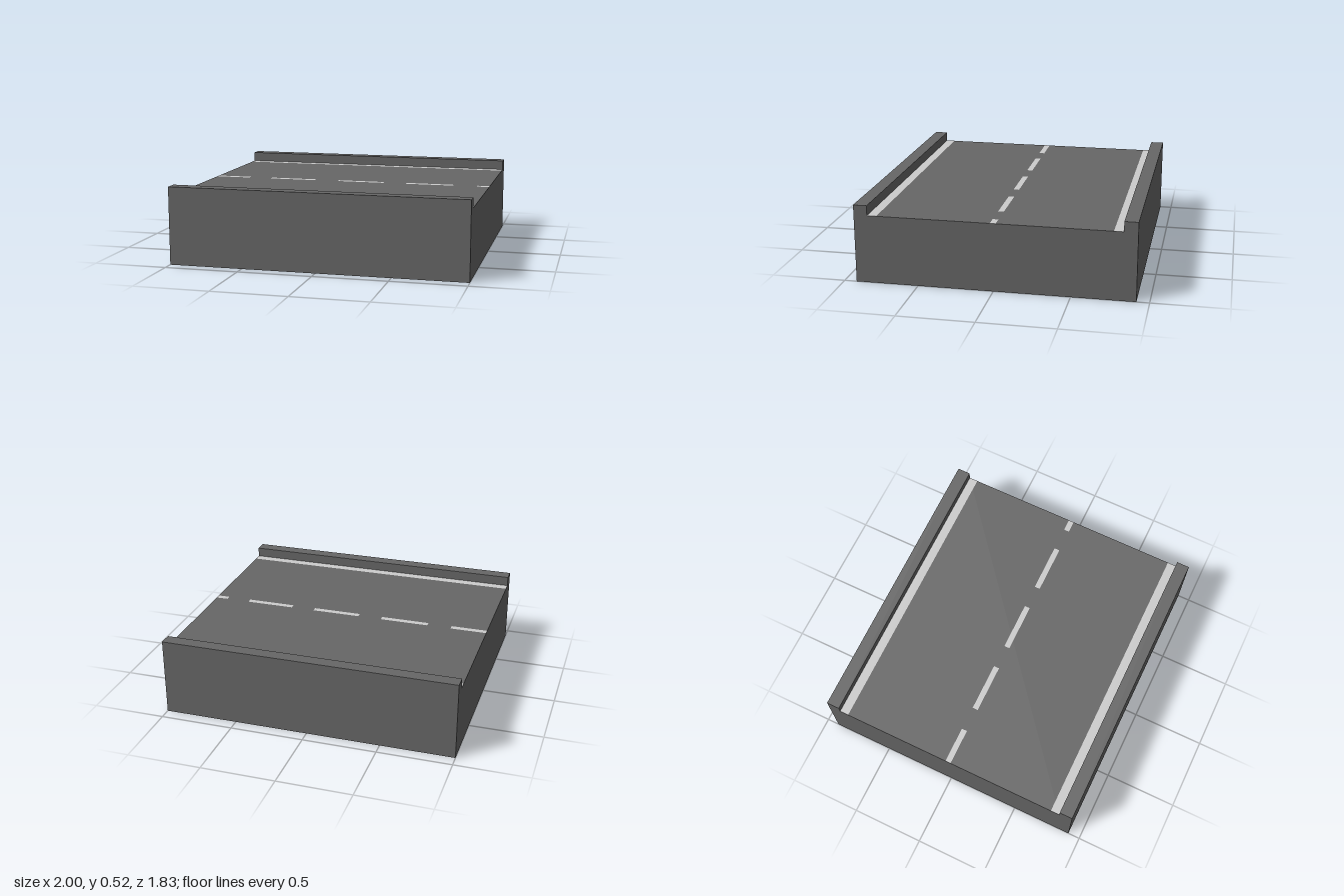
import * as THREE from 'three';

const HALF_X = 1, HALF_Z = 0.917, DECK = 0.458, TOP = 0.525, WALL_IN = 0.827;

export function createModel() {
  const group = new THREE.Group();
  const asphalt = new THREE.MeshStandardMaterial({ color: 0x666666 });
  const paint = new THREE.MeshStandardMaterial({ color: 0xcccccc });

  // Road body: one channel-shaped section with raised kerb walls, swept along x
  const section = new THREE.Shape([
    [-HALF_Z, 0], [HALF_Z, 0], [HALF_Z, TOP], [WALL_IN, TOP],
    [WALL_IN, DECK], [-WALL_IN, DECK], [-WALL_IN, TOP], [-HALF_Z, TOP],
  ].map(([z, y]) => new THREE.Vector2(z, y)));
  const bodyGeometry = new THREE.ExtrudeGeometry(section, { depth: 2 * HALF_X, bevelEnabled: false });
  bodyGeometry.translate(0, 0, -HALF_X).rotateY(Math.PI / 2);
  const body = new THREE.Mesh(bodyGeometry, asphalt);
  body.name = 'roadBody';
  group.add(body);

  // Flat painted marking lying just above the deck
  function marking(name, x0, x1, z0, z1) {
    const geometry = new THREE.PlaneGeometry(x1 - x0, z1 - z0).rotateX(-Math.PI / 2);
    const mesh = new THREE.Mesh(geometry, paint);
    mesh.name = name;
    mesh.position.set((x0 + x1) / 2, DECK + 0.001, (z0 + z1) / 2);
    group.add(mesh);
  }

  // Solid edge lines along both walls
  marking('frontEdgeLine', -HALF_X, HALF_X, 0.765, WALL_IN);
  marking('backEdgeLine', -HALF_X, HALF_X, -WALL_IN, -0.765);

  // Dashed centre line, cut off at the ends of the segment
  for (let i = 0; i < 5; i++) {
    const start = -1.085 + i * 0.5;
    marking('centreDash', Math.max(start, -HALF_X), Math.min(start + 0.335, HALF_X), -0.019, 0.019);
  }

  return group;
}
